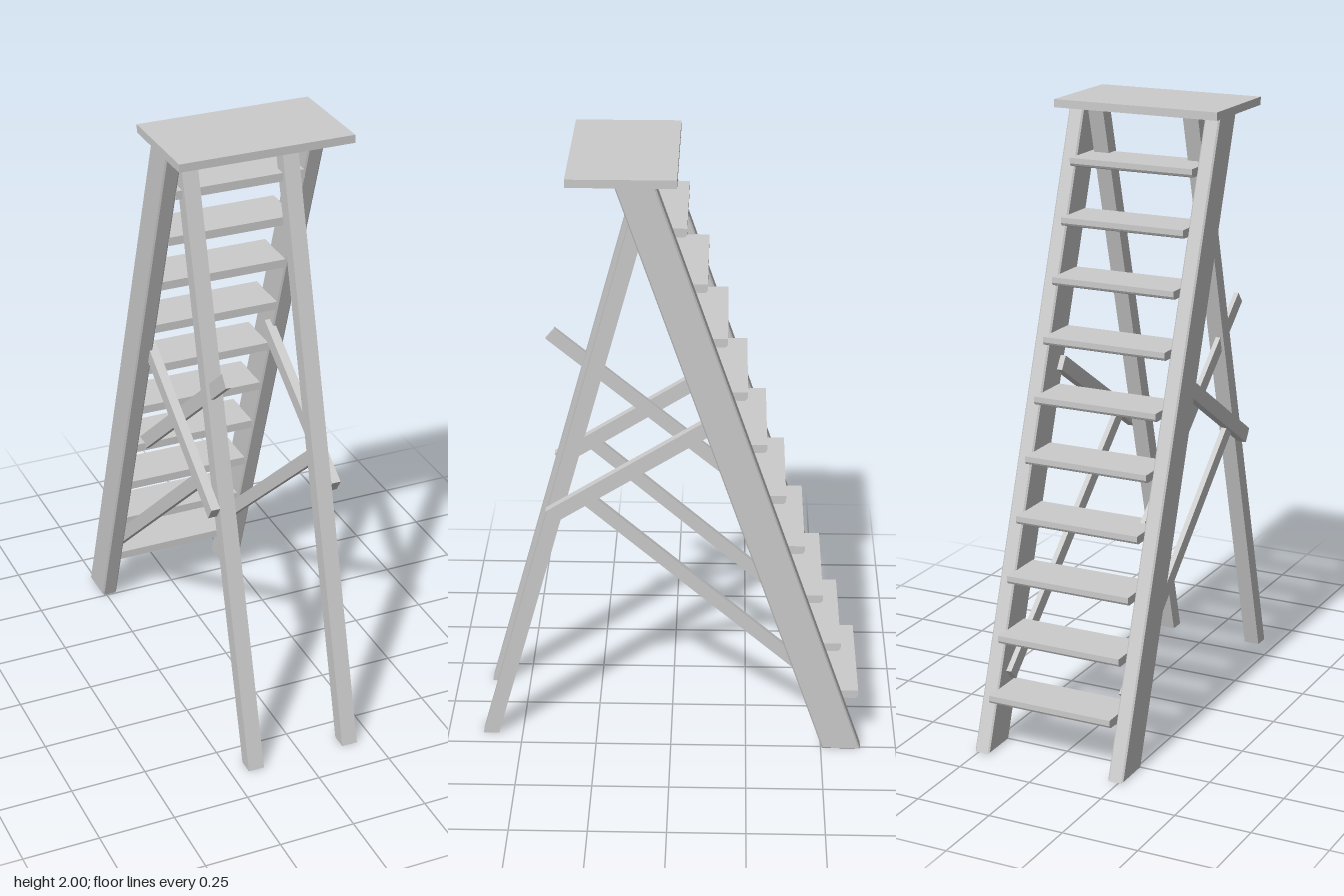
import * as THREE from 'three';

const material = new THREE.MeshStandardMaterial({ color: 0xcccccc, flatShading: true });

// Extrudes a side profile of [z, y] points across x0..x1, with an optional chamfer
function slab(name, profile, x0, x1, bevel = 0) {
  const shape = new THREE.Shape(profile.map(([z, y]) => new THREE.Vector2(z, y)));
  const geometry = new THREE.ExtrudeGeometry(shape, {
    depth: x1 - x0 - 2 * bevel,
    bevelEnabled: bevel > 0,
    bevelThickness: bevel,
    bevelSize: bevel,
    bevelOffset: -bevel,
    bevelSegments: 1,
  });
  geometry.rotateY(-Math.PI / 2);
  geometry.translate(x1 - bevel, 0, 0);
  const mesh = new THREE.Mesh(geometry, material);
  mesh.name = name;
  return mesh;
}

// Square-ended bar between two [z, y] points
function bar(name, a, b, width, x0, x1) {
  const dz = b[0] - a[0], dy = b[1] - a[1];
  const k = width / 2 / Math.hypot(dz, dy);
  const nz = -dy * k, ny = dz * k;
  return slab(name, [
    [a[0] + nz, a[1] + ny], [a[0] - nz, a[1] - ny],
    [b[0] - nz, b[1] - ny], [b[0] + nz, b[1] + ny],
  ], x0, x1);
}

export function createModel() {
  const group = new THREE.Group();
  group.name = 'stepladder';

  // Top platform
  const platform = new THREE.Mesh(new THREE.BoxGeometry(0.568, 0.026, 0.335), material);
  platform.position.set(0, 1.987, 0.147);
  platform.name = 'platform';
  group.add(platform);

  // Parts repeated on both sides
  for (const [side, s] of [['left', 1], ['right', -1]]) {
    const span = (a, b) => (s > 0 ? [a, b] : [-b, -a]);

    group.add(slab(side + 'Stringer',
      [[-0.632, 0], [-0.505, 0], [0.17, 1.976], [0.046, 1.976]], ...span(0.212, 0.264), 0.005));

    group.add(slab(side + 'Leg',
      [[0.58, 0], [0.632, 0], [0.087, 1.976], [0.035, 1.976]], ...span(0.14, 0.193)));

    group.add(bar(side + 'UpperBrace', [0.388, 0.838], [-0.14, 1.173], 0.05, ...span(0.193, 0.223)));
    group.add(bar(side + 'LowerBrace', [0.27, 0.9], [-0.5, 0.226], 0.045, ...span(0.193, 0.211)));
  }

  // Single locking bar that passes through the right leg
  group.add(bar('lockingBar', [0.405, 1.31], [-0.3, 0.72], 0.047, -0.182, -0.166));

  // Treads, with the lower nose edge cut back
  for (let i = 0; i < 10; i++) {
    const y = 0.198 + i * 0.1805;
    const z = -0.621 + i * 0.0635;
    group.add(slab('tread', [
      [z, y], [z, y - 0.018], [z + 0.004, y - 0.025], [z + 0.01, y - 0.028],
      [z + 0.165, y - 0.028], [z + 0.165, y],
    ], -0.214, 0.214));
  }

  return group;
}
